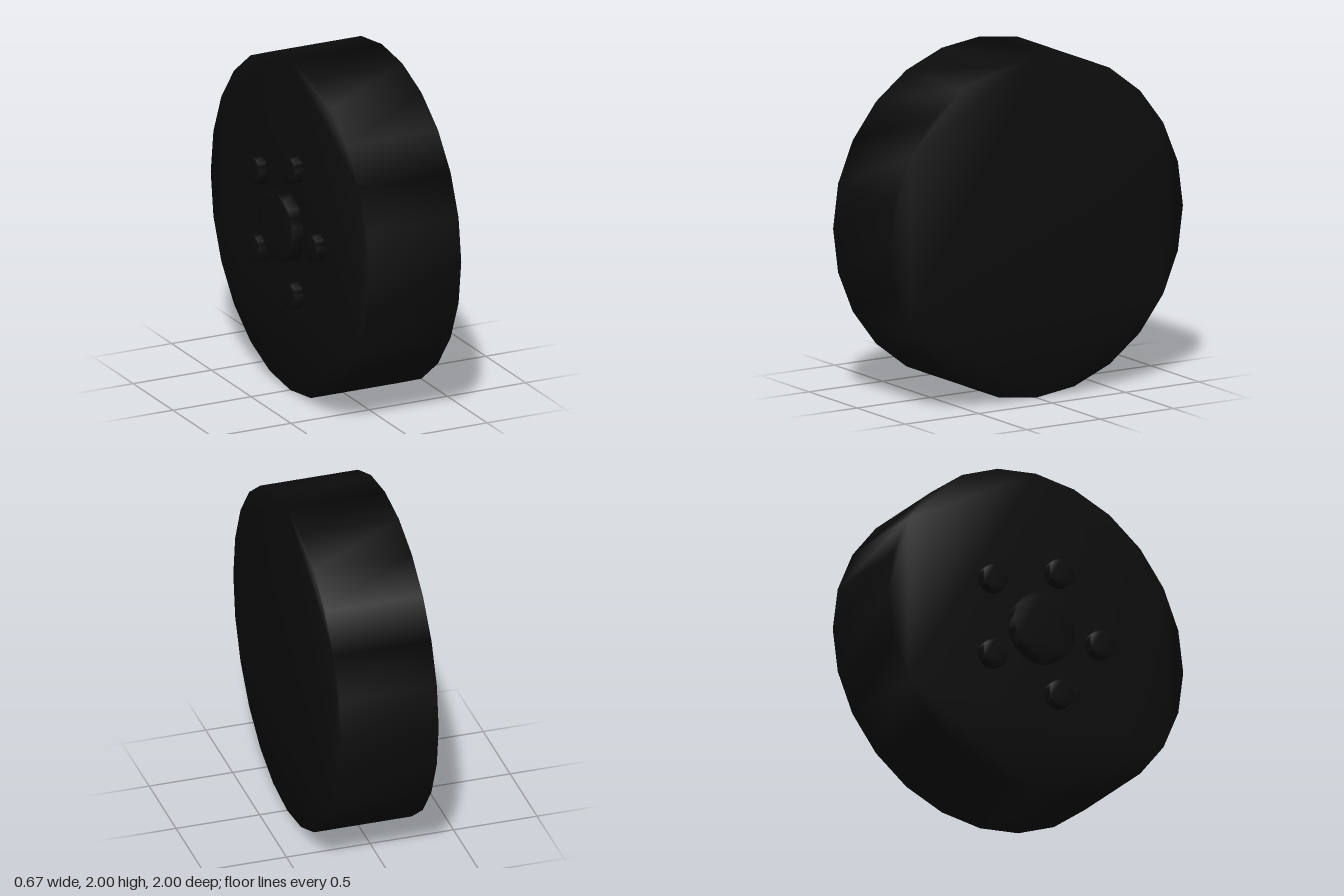
import * as THREE from 'three';
import { mergeVertices } from 'three/addons/utils/BufferGeometryUtils.js';

// Disc along x whose caps and rim share smooth normals
function discGeometry(radius, x0, x1, sides = 24) {
  const points = [];
  for (let i = 0; i < sides; i++) {
    const a = (i / sides) * Math.PI * 2;
    points.push(new THREE.Vector2(Math.cos(a) * radius, Math.sin(a) * radius));
  }
  const raw = new THREE.ExtrudeGeometry(new THREE.Shape(points), {
    depth: x1 - x0, bevelEnabled: false, steps: 1,
  });
  raw.deleteAttribute('normal');
  raw.deleteAttribute('uv');
  const geometry = mergeVertices(raw, 1e-4);
  geometry.clearGroups();
  geometry.rotateY(Math.PI / 2);
  geometry.translate(x0, 0, 0);
  geometry.computeVertexNormals();
  return geometry;
}

export function createModel() {
  const model = new THREE.Group();
  model.name = 'wheel';
  const rubber = new THREE.MeshStandardMaterial({ color: 0x0d0d0d });
  rubber.name = 'black rubber';

  const add = (name, geometry, y, z) => {
    const mesh = new THREE.Mesh(geometry, rubber);
    mesh.name = name;
    mesh.position.set(0, y, z);
    model.add(mesh);
  };

  // Tyre
  add('tyre', discGeometry(1, -0.25, 0.335), 1, 0);

  // Hub cap, standing just clear of the tyre
  add('hubCap', discGeometry(0.207, -0.34, -0.27), 1.003, 0);

  // Ring of five wheel bolts
  const bolt = discGeometry(0.083, -0.325, -0.27);
  for (let i = 0; i < 5; i++) {
    const a = (i / 5) * Math.PI * 2;
    add(`bolt${i + 1}`, bolt, 1.003 + Math.sin(a) * 0.4, Math.cos(a) * 0.4);
  }
  return model;
}
